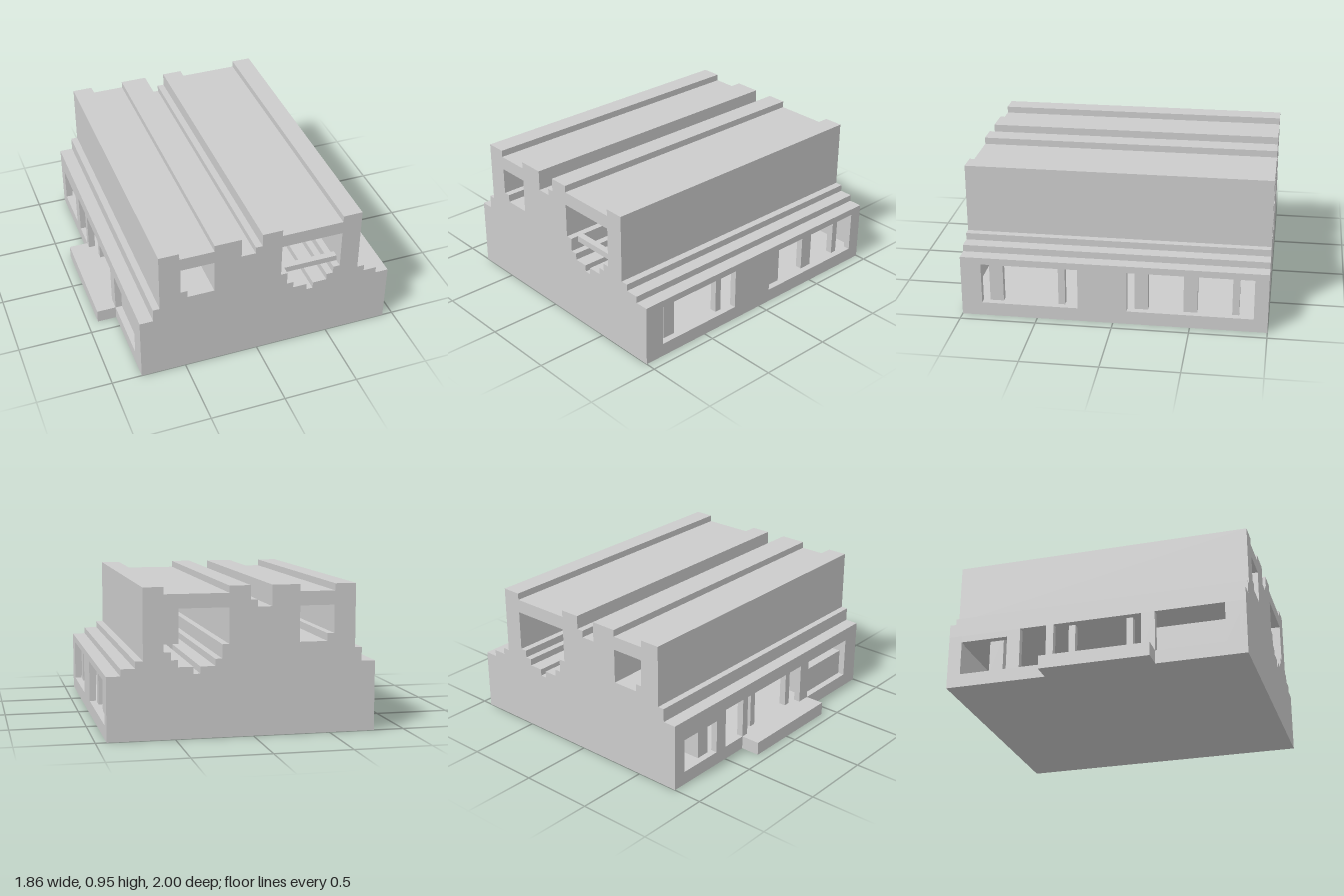
import * as THREE from 'three';

const material = new THREE.MeshStandardMaterial({ color: 0xcccccc, flatShading: true });

export function createModel() {
  const model = new THREE.Group();

  // box from its limits on each axis
  const box = (name, x0, x1, y0, y1, z0, z1) => {
    const mesh = new THREE.Mesh(new THREE.BoxGeometry(x1 - x0, y1 - y0, z1 - z0), material);
    mesh.position.set((x0 + x1) / 2, (y0 + y1) / 2, (z0 + z1) / 2);
    mesh.name = name;
    model.add(mesh);
  };
  const points = list => list.map(([x, y]) => new THREE.Vector2(x, y));

  const floorY = 0.09, ceilingY = 0.365, wall = 0.045;
  const left = -0.8, right = 0.93;

  // upper storey: stepped roof outline with two passages running front to back
  const outline = new THREE.Shape(points([
    [left, ceilingY], [right, ceilingY], [right, 0.41], [0.84, 0.41], [0.84, 0.455], [0.75, 0.455],
    [0.75, 0.5], [0.7, 0.5], [0.7, 0.955], [0.57, 0.955], [0.57, 0.91], [0.155, 0.91],
    [0.155, 0.955], [0.02, 0.955], [0.02, 0.865], [-0.025, 0.865], [-0.025, 0.82], [-0.12, 0.82],
    [-0.12, 0.955], [-0.3, 0.955], [-0.3, 0.91], [-0.53, 0.91], [-0.53, 0.955], [-0.665, 0.955],
    [-0.665, 0.545], [-0.71, 0.545], [-0.71, 0.455], [left, 0.455],
  ]));
  outline.holes.push(
    new THREE.Path(points([
      [-0.525, 0.82], [-0.3, 0.82], [-0.3, 0.59], [-0.48, 0.59], [-0.48, 0.64], [-0.525, 0.64],
    ])),
    new THREE.Path(points([
      [0.155, 0.82], [0.57, 0.82], [0.57, 0.55], [0.525, 0.55], [0.525, 0.5], [0.48, 0.5],
      [0.48, 0.455], [0.385, 0.455], [0.385, 0.41], [0.34, 0.41], [0.34, 0.455], [0.245, 0.455],
      [0.245, 0.5], [0.2, 0.5], [0.2, 0.59], [0.155, 0.59],
    ])),
  );
  const upper = new THREE.Mesh(
    new THREE.ExtrudeGeometry(outline, { depth: 2, bevelEnabled: false }).translate(0, 0, -1), material);
  upper.name = 'upperStoreyAndRoof';
  model.add(upper);

  // rail and partition in the wide passage
  box('windowRail', 0.2, 0.57, 0.55, 0.59, 0.9, 0.945);
  box('passagePartition', 0.295, 0.57, 0.41, 0.82, -0.02, 0.025);

  // ground slab and side porch
  box('floorSlab', left, right, 0, floorY, -1, 1);
  box('porch', -0.93, left, 0, floorY, -0.32, 0.41);

  // ground storey end walls
  box('frontWall', left, right, floorY, ceilingY, 1 - wall, 1);
  box('backWall', left, right, floorY, ceilingY, -1, -1 + wall);

  // side walls between the openings
  for (const [z0, z1] of [[-1, -0.91], [-0.09, 0.23], [0.865, 1]])
    box('rightWallPier', right - wall, right, floorY, ceilingY, z0, z1);
  for (const [z0, z1] of [[-1, -0.91], [-0.59, -0.5], [-0.32, -0.27], [0.32, 0.41], [0.865, 1]])
    box('leftWallPier', left, left + wall, floorY, ceilingY, z0, z1);
  box('windowLintel', left, left + wall, 0.32, ceilingY, -0.91, -0.59);

  // posts standing just behind the openings
  for (const [z0, z1] of [[0.73, 0.82], [0.32, 0.365], [-0.225, -0.135], [-0.545, -0.455], [-0.815, -0.77]])
    box('rightPost', right - 2 * wall, right - wall, floorY, ceilingY, z0, z1);
  for (const z of [-0.18, 0.21])
    box('leftPost', left + wall, left + 2 * wall, floorY, ceilingY, z, z + wall);

  // interior partitions and fittings
  box('backPartition', 0, wall, floorY, ceilingY, -0.725, -0.27);
  box('frontPartition', 0, wall, floorY, ceilingY, 0, 1 - wall);
  box('cupboard', left + wall, -0.62, floorY, ceilingY, -0.725, -0.63);
  box('lowCounter', left + wall, -0.62, floorY, 0.27, 0.41, 0.865);

  return model;
}
